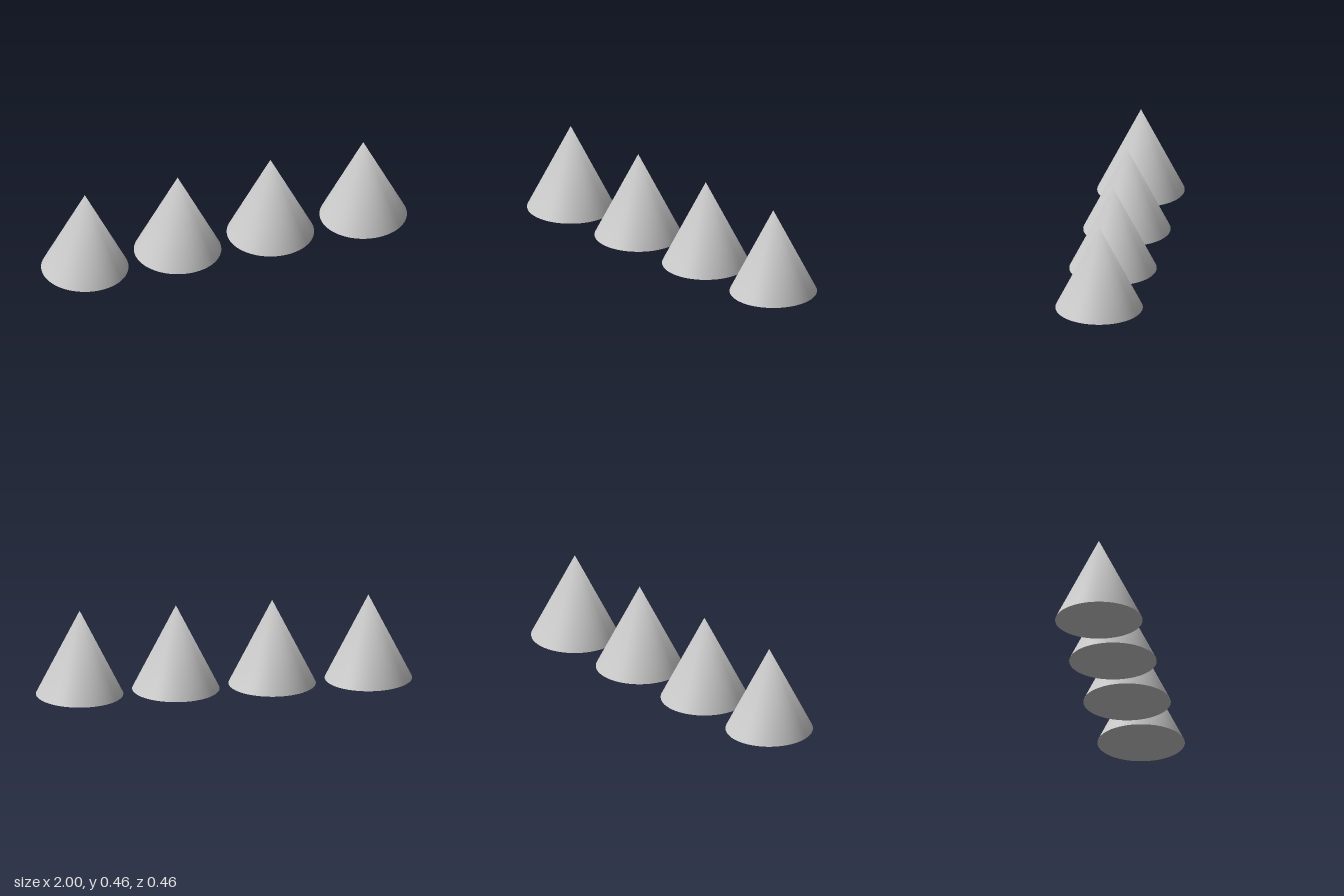
import * as THREE from 'three';

const RADIUS = 0.23, HEIGHT = 0.46, COUNT = 4, SEGMENTS = 64;

// Cone whose smooth normals all point straight up at the tip, giving a soft apex
function softTipCone() {
  const geometry = new THREE.ConeGeometry(RADIUS, HEIGHT, SEGMENTS);
  const { position, normal } = geometry.attributes;
  for (let i = 0; i < position.count; i++) {
    if (position.getY(i) > HEIGHT / 2 - 1e-4) normal.setXYZ(i, 0, 1, 0);
  }
  return geometry.translate(0, HEIGHT / 2, 0);
}

export function createModel() {
  const model = new THREE.Group();
  model.name = 'coneRow';
  const material = new THREE.MeshStandardMaterial({ color: 0xcccccc });
  const geometry = softTipCone();

  // Evenly spaced row along x
  const end = 1 - RADIUS;
  for (let i = 0; i < COUNT; i++) {
    const cone = new THREE.Mesh(geometry, material);
    cone.name = `cone${i + 1}`;
    cone.position.x = -end + (2 * end * i) / (COUNT - 1);
    model.add(cone);
  }
  return model;
}
